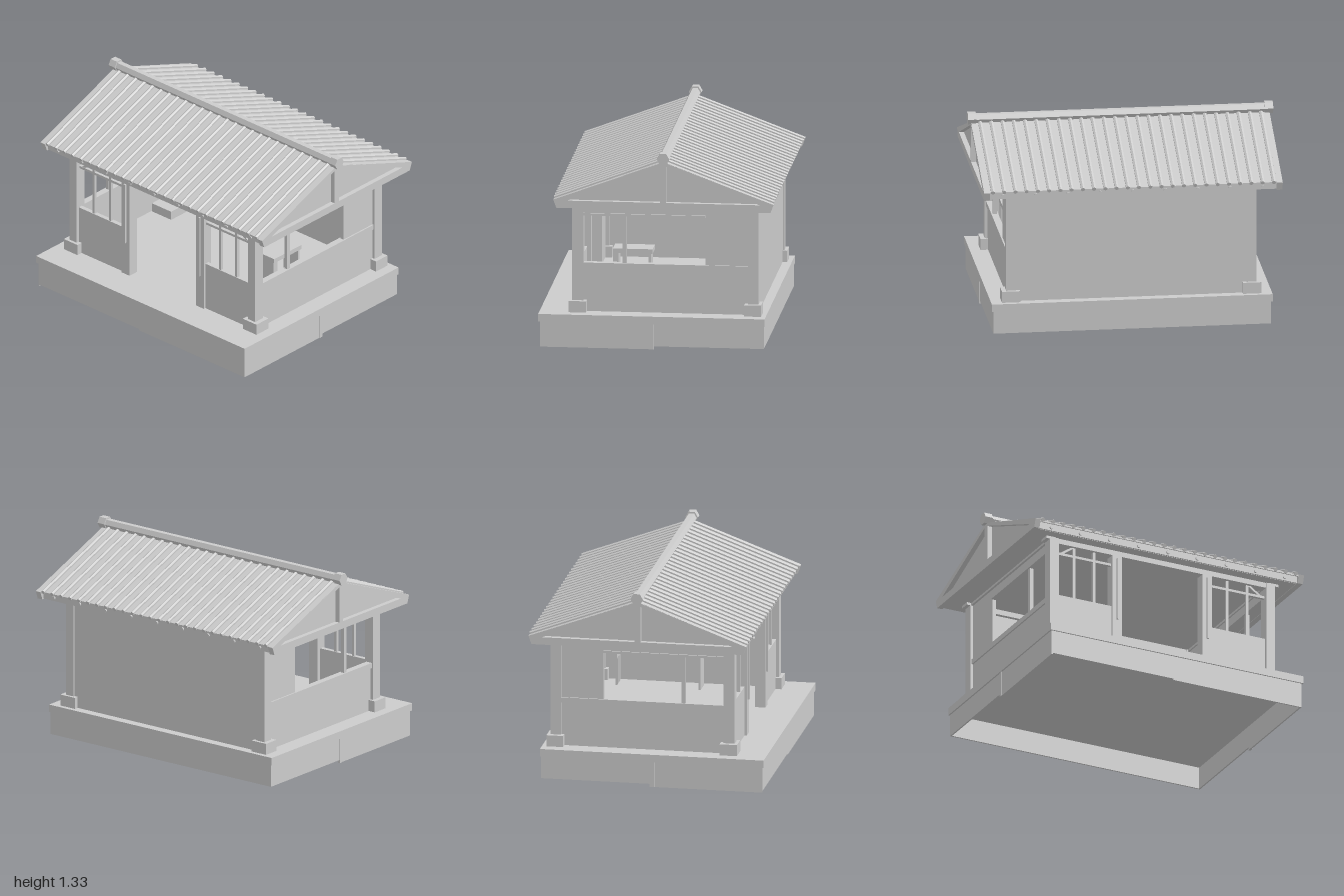
import * as THREE from 'three';

const grey = new THREE.MeshStandardMaterial({ color: 0xcccccc, side: THREE.DoubleSide, flatShading: true });
grey.name = 'grey';

export function createModel() {
  const model = new THREE.Group();
  model.name = 'pavilion';

  const add = (name, geometry) => {
    const mesh = new THREE.Mesh(geometry, grey);
    mesh.name = name;
    model.add(mesh);
    return mesh;
  };
  // box from its lower and upper limits
  const box = (name, x0, x1, y0, y1, z0, z1) => {
    const g = new THREE.BoxGeometry(x1 - x0, y1 - y0, z1 - z0);
    g.translate((x0 + x1) / 2, (y0 + y1) / 2, (z0 + z1) / 2);
    return add(name, g);
  };
  // the same box on the left and right
  const pair = (name, x0, x1, ...rest) => {
    box(name, x0, x1, ...rest);
    box(name, -x1, -x0, ...rest);
  };
  // [z, y] profile extruded from x0 to x1
  const prism = (name, points, x0, x1, holes = []) => {
    const toVectors = (list) => list.map(([z, y]) => new THREE.Vector2(z, y));
    const shape = new THREE.Shape(toVectors(points));
    for (const hole of holes) shape.holes.push(new THREE.Path(toVectors(hole)));
    const g = new THREE.ExtrudeGeometry(shape, { depth: x1 - x0, bevelEnabled: false });
    g.rotateY(-Math.PI / 2).translate(x1, 0, 0);
    return add(name, g);
  };

  // platform: floor slab on a hollow skirt
  box('floor', -0.92, 0.92, 0.17, 0.22, -0.71, 0.77);
  box('frontSkirtRight', -0.91, -0.02, 0.01, 0.17, 0.75, 0.76);
  box('frontSkirtLeft', -0.02, 0.91, 0, 0.17, 0.75, 0.76);
  box('backSkirt', -0.91, 0.91, 0.02, 0.17, -0.705, -0.695);
  pair('sideSkirtFront', 0.9, 0.91, 0, 0.17, 0.015, 0.76);
  pair('sideSkirtBack', 0.9, 0.91, 0.02, 0.17, -0.705, 0.015);
  pair('skirtSeam', 0.91, 0.914, 0, 0.17, 0.015, 0.045);

  // corner posts on square footings
  for (const [z0, z1] of [[0.485, 0.56], [-0.66, -0.59]]) {
    pair('cornerPost', 0.755, 0.82, 0.22, 0.945, z0, z1);
    pair('postFooting', 0.73, 0.85, 0.22, 0.295, z0 - 0.02, z1 + 0.02);
    pair('postCap', 0.775, 0.845, 0.93, 0.955, z0, z1);
    box('topBeam', -0.82, 0.82, 0.91, 0.945, z0 + 0.01, z1 - 0.005);
  }

  // back wall
  box('backWall', -0.76, 0.76, 0.22, 0.945, -0.65, -0.62);

  // side walls with an open window and a solid rear panel
  pair('sideLowerWall', 0.775, 0.8, 0.22, 0.51, -0.6, 0.49);
  pair('sideSill', 0.765, 0.81, 0.51, 0.545, -0.6, 0.49);
  pair('sideRearPanel', 0.775, 0.8, 0.545, 0.93, -0.6, -0.31);
  pair('sideHeader', 0.765, 0.81, 0.86, 0.875, -0.31, 0.49);
  pair('sideUpperWall', 0.775, 0.8, 0.875, 0.93, -0.31, 0.49);
  pair('sideTopBeam', 0.765, 0.815, 0.93, 0.945, -0.66, 0.56);
  pair('sideMullion', 0.775, 0.8, 0.545, 0.86, 0.205, 0.23);

  // front bays beside the doorway
  pair('doorPost', 0.293, 0.363, 0.22, 0.945, 0.485, 0.555);
  pair('doorPlate', 0.322, 0.334, 0.455, 0.89, 0.555, 0.567);
  pair('frontLowWall', 0.36, 0.76, 0.22, 0.55, 0.51, 0.54);
  pair('frontTransom', 0.36, 0.76, 0.84, 0.857, 0.515, 0.535);
  for (const x of [0.485, 0.63]) pair('frontMullion', x - 0.009, x + 0.009, 0.55, 0.92, 0.515, 0.535);
  for (const s of [-1, 1]) {
    const g = new THREE.BoxGeometry(0.14, 0.014, 0.015);
    g.rotateZ(-s * 0.6).translate(s * 0.675, 0.888, 0.525);
    add('frontBrace', g);
  }

  // furniture: wall bench, slatted chair back, low box
  box('benchTop', 0.61, 0.75, 0.6, 0.63, 0.04, 0.3);
  box('benchFrontLeg', 0.615, 0.745, 0.22, 0.6, 0.265, 0.3);
  box('benchBackLeg', 0.615, 0.745, 0.22, 0.6, 0.052, 0.066);
  for (let i = 0; i < 5; i++) {
    const x = 0.64 + i * 0.0255;
    box('rackSlat', x - 0.005, x + 0.005, 0.22, 0.69, -0.5, -0.488);
  }
  box('rackRail', 0.63, 0.75, 0.4, 0.43, -0.5, -0.488);
  box('lowBox', -0.77, -0.6, 0.22, 0.28, -0.35, -0.18);

  // roof slab, ceiling and fascias
  const ridgeZ = -0.055;
  prism('roofSlab', [[0.655, 0.99], [0.655, 1.002], [ridgeZ, 1.268], [-0.765, 1.002], [-0.765, 0.99], [ridgeZ, 1.245]],
    -0.975, 0.975);
  box('ceiling', -0.94, 0.94, 0.948, 0.962, -0.735, 0.625);
  box('frontFascia', -0.945, 0.945, 0.95, 0.996, 0.61, 0.635);
  box('backFascia', -0.945, 0.945, 0.95, 0.996, -0.745, -0.72);

  // gables: framed triangle with king post over a recessed panel
  const gable = [[0.645, 0.945], [0.665, 1.0], [ridgeZ, 1.266], [-0.775, 1.0], [-0.755, 0.945]];
  const openings = [
    [[0.575, 0.995], [-0.033, 0.995], [-0.033, 1.235]],
    [[-0.685, 0.995], [-0.072, 0.995], [-0.072, 1.235]],
  ];
  const panel = [[0.62, 0.95], [0.62, 0.992], [ridgeZ, 1.25], [-0.73, 0.992], [-0.73, 0.95]];
  for (const s of [-1, 1]) {
    const span = (a, b) => (s > 0 ? [a, b] : [-b, -a]);
    prism('gableFrame', gable, ...span(0.94, 0.978), openings);
    prism('gablePanel', panel, ...span(0.92, 0.945));
  }

  // tile ribs down both slopes
  const slope = Math.atan2(0.266, 0.71);
  for (let i = 0; i < 26; i++) {
    const x = -0.92 + i * 0.0736;
    for (const s of [-1, 1]) {
      const g = new THREE.CylinderGeometry(0.014, 0.014, 0.765, 6);
      g.rotateX(Math.PI / 2).rotateX(s * slope);
      g.translate(x, 1.136, ridgeZ + s * 0.36);
      add('tileRib', g);
    }
  }

  // purlin ends along the eaves
  for (let i = 0; i < 9; i++) {
    for (const z of [0.635, -0.745]) {
      const g = new THREE.CylinderGeometry(0.012, 0.012, 0.02, 8);
      g.rotateX(Math.PI / 2).translate(-0.85 + i * 0.2125, 0.97, z);
      add('purlinEnd', g);
    }
  }

  // six-sided ridge with larger end caps
  const hex = (name, radius, x0, x1, y) => {
    const g = new THREE.CylinderGeometry(radius, radius, x1 - x0, 6);
    g.rotateZ(Math.PI / 2).translate((x0 + x1) / 2, y, ridgeZ);
    add(name, g);
  };
  hex('ridge', 0.034, -0.96, 0.96, 1.286);
  hex('ridgeCap', 0.042, 0.945, 1, 1.29);
  hex('ridgeCap', 0.042, -1, -0.945, 1.29);

  return model;
}
